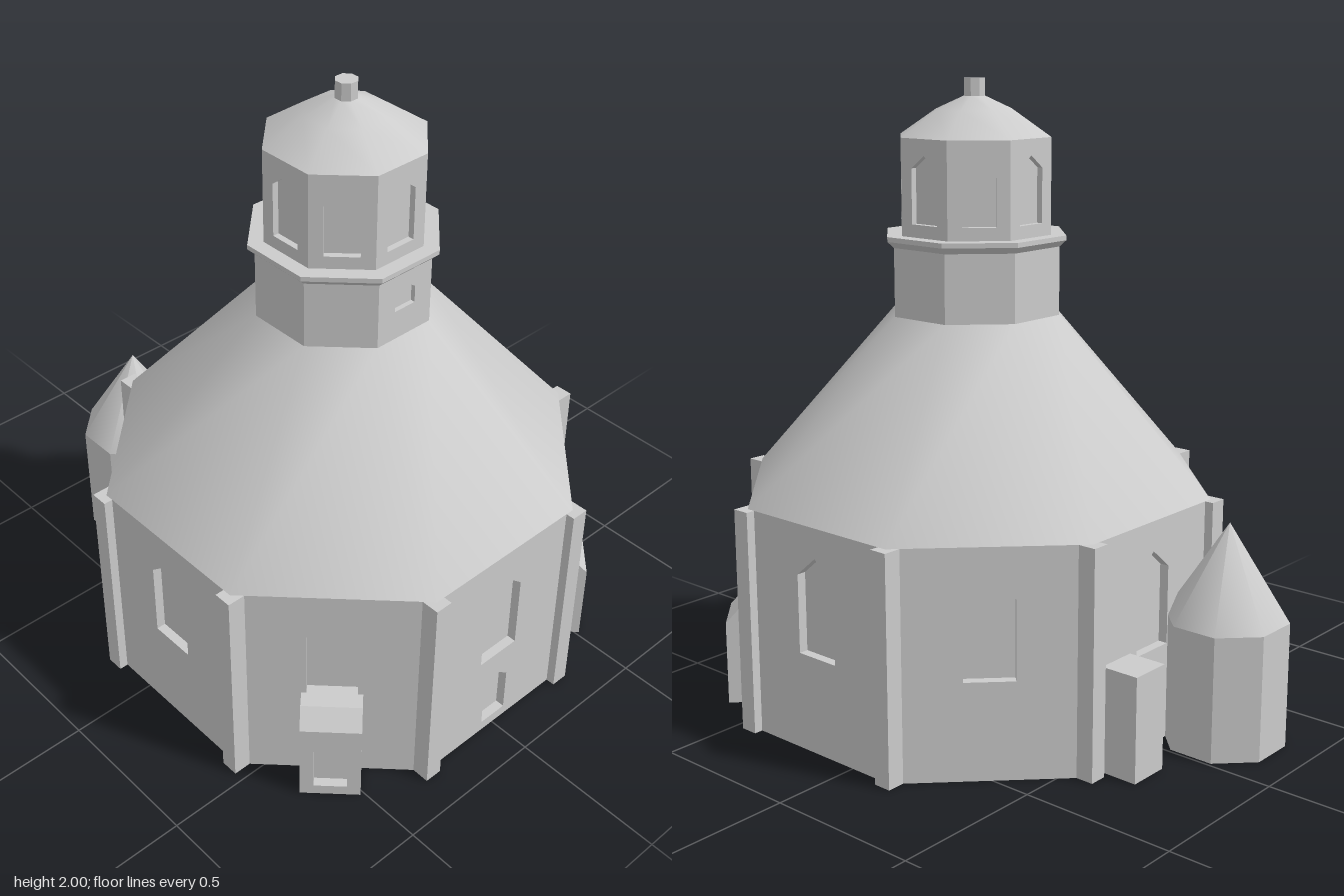
import * as THREE from 'three';

const stone = new THREE.MeshStandardMaterial({ color: 0xcccccc });
stone.name = 'pale grey stone';

const SIDES = 8;
const TURN = Math.PI / 8;
const A = 0.714; // distance from the axis to each main wall
const corner = (apothem) => apothem / Math.cos(TURN);

function add(parent, name, geometry) {
  const mesh = new THREE.Mesh(geometry, stone);
  mesh.name = name;
  parent.add(mesh);
  return mesh;
}

// Octagonal prism or frustum with one side facing +z; sizes are apothems
function octagon(bottom, top, y0, y1, smooth = false, open = false) {
  let g = new THREE.CylinderGeometry(corner(top), corner(bottom), y1 - y0, SIDES, 1, open, TURN);
  if (!smooth) {
    g = g.toNonIndexed();
    g.computeVertexNormals();
  }
  return g.translate(0, (y0 + y1) / 2, 0);
}

// Wall panel with pointed openings, its outer face at z = front
function panel(width, y0, y1, front, depth, openings) {
  const w = width / 2;
  const shape = new THREE.Shape([[-w, y0], [w, y0], [w, y1], [-w, y1]].map((p) => new THREE.Vector2(...p)));
  for (const [h, sill, spring, peak] of openings) {
    shape.holes.push(new THREE.Path(
      [[-h, sill], [-h, spring], [0, peak], [h, spring], [h, sill]].map((p) => new THREE.Vector2(...p))));
  }
  return new THREE.ExtrudeGeometry(shape, { depth, bevelEnabled: false }).translate(0, 0, front - depth);
}

// Eight panels around a solid core, so that openings read as recesses
function octagonWalls(name, apothem, y0, y1, depth, openingsFor) {
  const group = new THREE.Group();
  group.name = name;
  add(group, name + 'Core', octagon(apothem - depth, apothem - depth, y0, y1));
  const width = 2 * apothem * Math.tan(TURN);
  for (let k = 0; k < SIDES; k++) {
    const g = panel(width, y0, y1, apothem, depth, openingsFor(k));
    add(group, name + 'Panel', g.rotateY(k * Math.PI / 4));
  }
  return group;
}

// Small porch with a flat top, sloping front edge and a pointed niche
function porch(angle) {
  const group = new THREE.Group();
  group.name = 'porch';
  const width = 0.186, front = 0.818, inner = front - 0.03;
  const profile = new THREE.Shape([
    [0.67, 0], [inner, 0], [inner, 0.275], [front, 0.275], [0.768, 0.33], [0.67, 0.33],
  ].map((p) => new THREE.Vector2(...p)));
  const body = new THREE.ExtrudeGeometry(profile, { depth: width, bevelEnabled: false });
  add(group, 'porchBody', body.rotateY(-Math.PI / 2).translate(width / 2, 0, 0));
  add(group, 'porchFront', panel(width, 0, 0.275, front, 0.03, [DOOR]));
  group.rotation.y = angle;
  return group;
}

// Openings: half width, sill, springing height, peak
const WINDOW = [0.077, 0.31, 0.56, 0.625];
const DOOR = [0.051, 0.035, 0.187, 0.227];
const DRUM_WINDOW = [0.04, 1.37, 1.425, 1.455];
const LANTERN_WINDOW = [0.052, 1.565, 1.735, 1.775];

export function createModel() {
  const model = new THREE.Group();
  model.name = 'octagonalChurch';

  const church = new THREE.Group();
  church.name = 'church';
  church.position.z = 0.143;
  model.add(church);

  // Main hall and its roof
  church.add(octagonWalls('hallWall', A, 0, 0.72, 0.03, (k) => (k === 0 ? [WINDOW, DOOR] : [WINDOW])));
  add(church, 'mainRoof', octagon(A, 0.256, 0.72, 1.275, true, true));

  // Square corner pilasters
  for (let k = 0; k < SIDES; k++) {
    const a = TURN + k * Math.PI / 4;
    const pilaster = add(church, 'cornerPilaster', new THREE.BoxGeometry(0.058, 0.72, 0.058));
    pilaster.position.set(corner(A) * Math.sin(a), 0.36, corner(A) * Math.cos(a));
  }

  // Porches on the two front diagonals
  for (const s of [-1, 1]) church.add(porch(s * Math.PI / 4));

  // Drum, cornice, lantern
  church.add(octagonWalls('drumWall', 0.256, 1.275, 1.5, 0.015, (k) => (k === 0 ? [DRUM_WINDOW] : [])));
  add(church, 'corniceUnderside', octagon(0.256, 0.276, 1.49, 1.51));
  add(church, 'corniceRim', octagon(0.276, 0.276, 1.51, 1.525));
  church.add(octagonWalls('lanternWall', 0.23, 1.525, 1.825, 0.02, () => [LANTERN_WINDOW]));

  // Domed cap and finial
  const dome = [[0.23, 1.825], [0.118, 1.905], [0.03, 1.947]]
    .map(([a, y]) => new THREE.Vector2(corner(a), y));
  add(church, 'dome', new THREE.LatheGeometry(dome, SIDES, TURN));
  add(church, 'finial', octagon(0.032, 0.032, 1.93, 2));

  // Stair turret and annex behind
  const turret = new THREE.Group();
  turret.name = 'stairTurret';
  turret.position.set(-0.19, 0, -0.714);
  add(turret, 'turretWall', octagon(0.178, 0.178, 0, 0.4));
  add(turret, 'turretRoof', octagon(0.178, 0, 0.4, 0.7, true, true));
  model.add(turret);

  const annex = add(model, 'annex', new THREE.BoxGeometry(0.136, 0.333, 0.16));
  annex.position.set(0.178, 0.1665, -0.617);

  return model;
}
